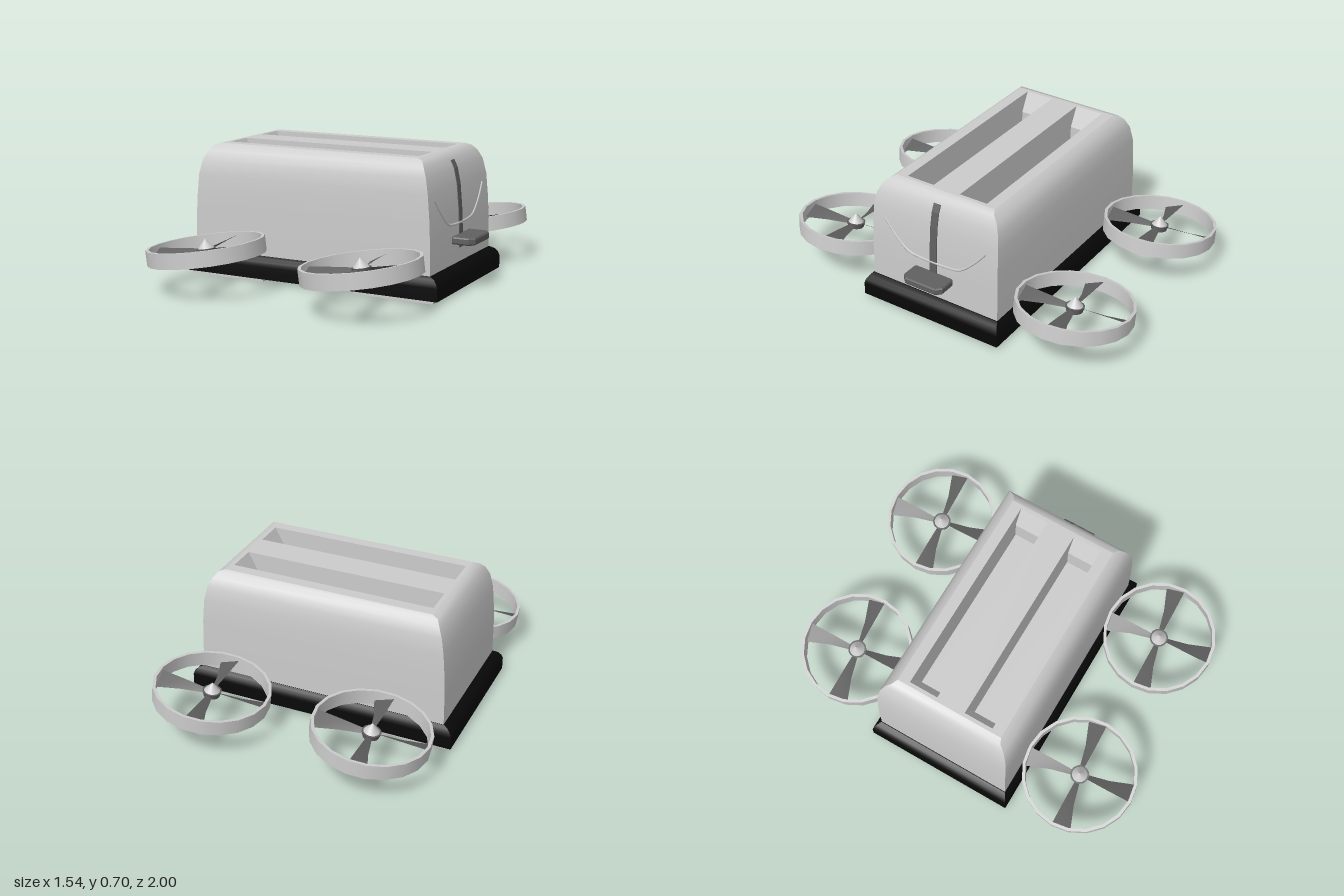
import * as THREE from 'three';

const grey = new THREE.MeshStandardMaterial({ color: 0xcccccc });
const greyDouble = new THREE.MeshStandardMaterial({ color: 0xcccccc, side: THREE.DoubleSide });
const black = new THREE.MeshStandardMaterial({ color: 0x080808 });
const dark = new THREE.MeshStandardMaterial({ color: 0x606060 });
const darkDouble = new THREE.MeshStandardMaterial({ color: 0x606060, side: THREE.DoubleSide });

const CX = -0.034, CZ = 0.005; // centre of the body in plan

function add(parent, name, geometry, material, x = 0, y = 0, z = 0) {
  const mesh = new THREE.Mesh(geometry, material);
  mesh.name = name;
  mesh.position.set(x, y, z);
  parent.add(mesh);
  return mesh;
}

// Stack of rectangles [halfX, halfZ, y]: smooth along the height, sharp at the corners.
// Rising rings face outward, falling rings face inward.
function loft(rings, capStart = false, capEnd = false) {
  const pos = [], idx = [];
  const corners = ([hx, hz, y]) => [[hx, y, hz], [hx, y, -hz], [-hx, y, -hz], [-hx, y, hz]];
  for (let s = 0; s < 4; s++) {
    const start = pos.length / 3;
    rings.forEach((ring, i) => {
      const c = corners(ring);
      pos.push(...c[s], ...c[(s + 1) % 4]);
      if (i > 0) {
        const a = start + (i - 1) * 2;
        idx.push(a, a + 1, a + 3, a, a + 3, a + 2);
      }
    });
  }
  const cap = (ring, up) => {
    const a = pos.length / 3;
    corners(ring).forEach((c) => pos.push(...c));
    idx.push(...(up ? [a, a + 1, a + 2, a, a + 2, a + 3] : [a, a + 2, a + 1, a, a + 3, a + 2]));
  };
  if (capStart) cap(rings[0], false);
  if (capEnd) cap(rings[rings.length - 1], true);
  const g = new THREE.BufferGeometry();
  g.setAttribute('position', new THREE.Float32BufferAttribute(pos, 3));
  g.setIndex(idx);
  g.computeVertexNormals();
  return g;
}

const bodyRings = [
  [0.686, 0.386, 0.13], [0.684, 0.386, 0.3], [0.678, 0.384, 0.42], [0.667, 0.381, 0.54],
  [0.65, 0.368, 0.62], [0.628, 0.346, 0.667], [0.606, 0.316, 0.695], [0.575, 0.3, 0.705],
];

// Outer x of the body's end wall at height y
function endX(y) {
  for (let i = 1; i < bodyRings.length; i++) {
    const [x0, , y0] = bodyRings[i - 1], [x1, , y1] = bodyRings[i];
    if (y <= y1) return CX + x0 + ((x1 - x0) * (y - y0)) / (y1 - y0);
  }
  return CX + 0.575;
}

function rectPath(path, x0, x1, y0, y1) {
  path.moveTo(x0, y0);
  path.lineTo(x1, y0);
  path.lineTo(x1, y1);
  path.lineTo(x0, y1);
  path.closePath();
  return path;
}

function createBody() {
  const body = new THREE.Group();
  body.name = 'body';
  add(body, 'shell', loft(bodyRings), grey, CX, 0, CZ);

  // Top plate with two slots
  const top = rectPath(new THREE.Shape(), -0.575, 0.575, -0.3, 0.3);
  for (const s of [-1, 1]) {
    top.holes.push(rectPath(new THREE.Path(), -0.555, 0.555, s * 0.16 - 0.08, s * 0.16 + 0.08));
    const well = loft([[0.555, 0.08, 0.705], [0.5, 0.08, 0.6], [0.5, 0.08, 0.48]], false, true);
    add(body, 'slotWell', well.toNonIndexed(), grey, CX, 0, CZ + s * 0.16)
      .geometry.computeVertexNormals();
  }
  add(body, 'topPlate', new THREE.ShapeGeometry(top).rotateX(-Math.PI / 2), grey, CX, 0.705, CZ);

  // Base with a rounded shoulder
  add(body, 'base', loft([
    [0.739, 0.418, 0.018], [0.739, 0.418, 0.085], [0.732, 0.413, 0.105],
    [0.715, 0.402, 0.125], [0.69, 0.388, 0.136],
  ], true, true), black, CX, 0, CZ);

  for (const sx of [-1, 1]) for (const sz of [-1, 1]) {
    add(body, 'foot', new THREE.BoxGeometry(0.443, 0.02, 0.125), grey,
      CX + sx * 0.488, 0.01, CZ + sz * 0.338);
  }
  return body;
}

function createLever() {
  const lever = new THREE.Group();
  lever.name = 'lever';

  // Vertical track following the end wall
  const heights = [0.21, 0.3, 0.42, 0.54, 0.62, 0.66];
  const track = new THREE.Shape([
    ...heights.map((y) => new THREE.Vector2(endX(y) + 0.004, y)),
    ...heights.slice().reverse().map((y) => new THREE.Vector2(endX(y) - 0.02, y)),
  ]);
  add(lever, 'leverTrack',
    new THREE.ExtrudeGeometry(track, { depth: 0.042, bevelEnabled: false }), dark, 0, 0, CZ - 0.019);

  // Knob with clipped outer corners
  const knob = new THREE.Shape([
    [0.63, -0.1], [0.66, -0.115], [0.74, -0.115], [0.765, -0.09],
    [0.765, 0.09], [0.74, 0.115], [0.66, 0.115], [0.63, 0.1],
  ].map(([x, y]) => new THREE.Vector2(x, y)));
  add(lever, 'leverKnob', new THREE.ExtrudeGeometry(knob, {
    depth: 0.024, bevelThickness: 0.007, bevelSize: 0.005, bevelSegments: 1,
  }).rotateX(-Math.PI / 2), dark, 0, 0.252, CZ);

  // Raised curved trim across the end wall
  const trim = [[0.31, 0.5], [0.25, 0.43], [0.16, 0.355], [0.09, 0.342], [0, 0.34]];
  const points = [...trim, ...trim.slice(0, -1).reverse().map(([z, y]) => [-z, y])]
    .map(([z, y]) => new THREE.Vector3(endX(y), y, z));
  add(lever, 'endTrim',
    new THREE.TubeGeometry(new THREE.CatmullRomCurve3(points), 32, 0.007, 6), grey, 0, 0, CZ);
  return lever;
}

// Tapered, pitched blade: high along the leading edge, low along the trailing edge
function bladeGeometry() {
  const pos = [], idx = [];
  const sections = [[0.04, 0.004, -0.02, 0.008], [0.16, 0.003, -0.05, 0.014], [0.293, 0, -0.1, 0.02]];
  sections.forEach(([r, lead, trail, pitch], i) => {
    pos.push(lead, pitch, -r, trail, -pitch, -r + Math.abs(trail) * 0.14);
    if (i > 0) {
      const a = (i - 1) * 2;
      idx.push(a, a + 2, a + 3, a, a + 3, a + 1);
    }
  });
  const g = new THREE.BufferGeometry();
  g.setAttribute('position', new THREE.Float32BufferAttribute(pos, 3));
  g.setIndex(idx);
  g.computeVertexNormals();
  return g;
}

function createFan() {
  const fan = new THREE.Group();
  fan.name = 'fan';
  const outer = 0.305, inner = 0.289, h = 0.04, sides = 20;
  add(fan, 'ringOuter', new THREE.CylinderGeometry(outer, outer, h * 2, sides, 1, true), grey);
  add(fan, 'ringInner', new THREE.CylinderGeometry(inner, inner, h * 2, sides, 1, true), greyDouble);
  for (const s of [-1, 1]) {
    // Rim vertices start on the same angle as the walls
    add(fan, 'ringRim', new THREE.RingGeometry(inner, outer, sides, 1, Math.PI / 2)
      .rotateX(-s * Math.PI / 2), grey, 0, s * h, 0);
  }
  add(fan, 'hub', new THREE.CylinderGeometry(0.05, 0.042, 0.03, 16), dark, 0, -0.005, 0);
  add(fan, 'hubCone', new THREE.ConeGeometry(0.042, 0.05, 16), grey, 0, 0.034, 0);
  const blade = bladeGeometry();
  for (let i = 0; i < 4; i++) {
    add(fan, 'blade', blade, darkDouble).rotation.y = (i * Math.PI) / 2;
  }
  return fan;
}

export function createModel() {
  const model = new THREE.Group();
  model.name = 'flyingToaster';
  model.add(createBody(), createLever());
  // Four ducted fans, all tilted the same way
  for (const x of [-0.457, 0.429]) for (const z of [-0.694, 0.694]) {
    const fan = createFan();
    fan.position.set(x, 0.214, z);
    fan.rotation.z = 0.133;
    model.add(fan);
  }
  return model;
}
